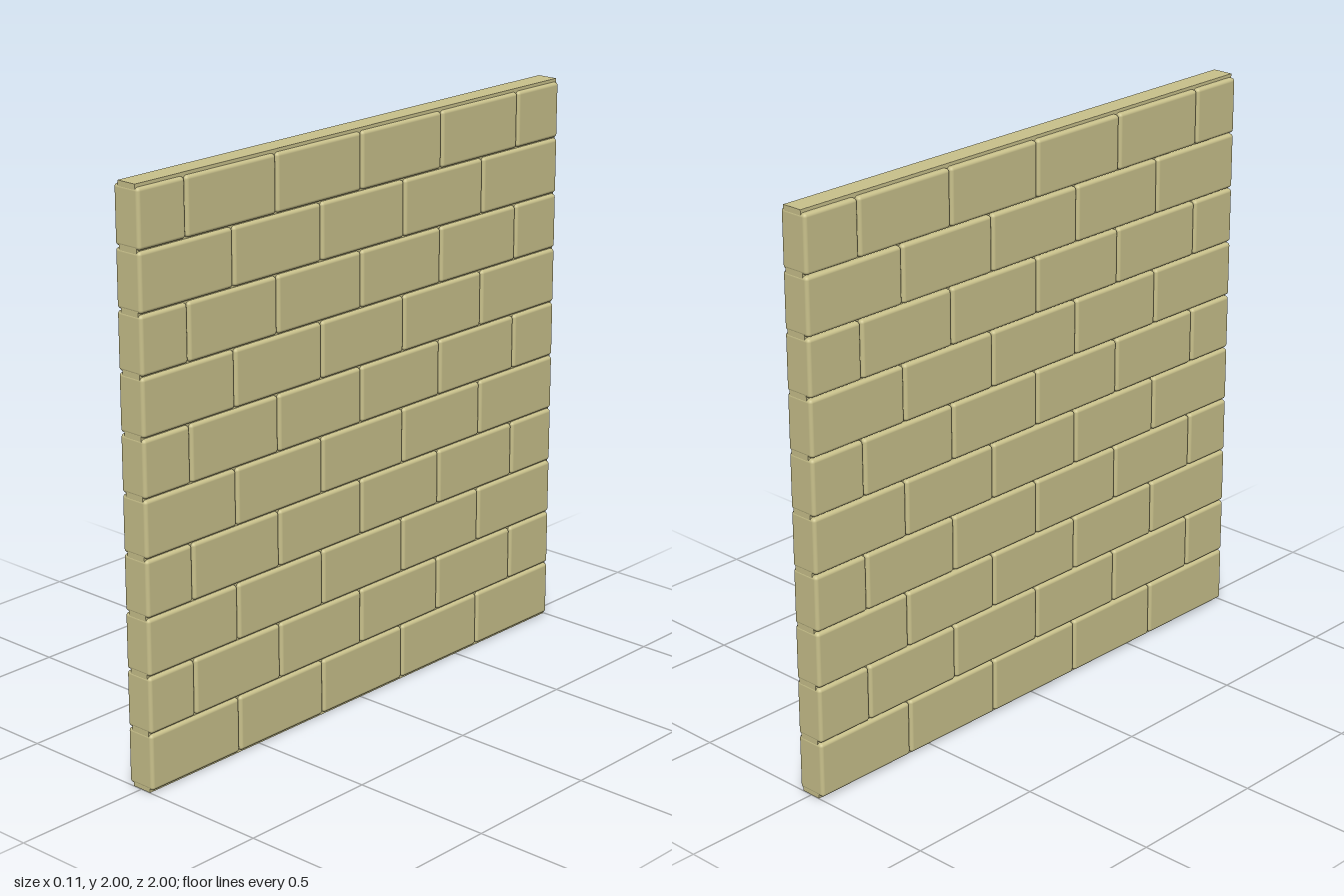
import * as THREE from 'three';
import { RoundedBoxGeometry } from 'three/addons/geometries/RoundedBoxGeometry.js';

export function createModel() {
  const wall = new THREE.Group();
  wall.name = 'brickWall';
  const material = new THREE.MeshStandardMaterial({ color: 0xcac28c });

  // Solid mortar core that shows in the joints and along the top
  const core = new THREE.Mesh(new THREE.BoxGeometry(0.075, 2, 1.998), material);
  core.name = 'mortarCore';
  core.position.set(0.002, 1, 0);
  wall.add(core);

  // Courses of rounded bricks in running bond
  const courses = 10, bottom = 0.006, pitch = 0.1985, gap = 0.004;
  const fullCourse = [1, 0.6, 0.2, -0.2, -0.6, -1];
  const offsetCourse = [1, 0.8, 0.405, 0.01, -0.385, -0.78, -1];

  for (let row = 0; row < courses; row++) {
    const course = new THREE.Group();
    course.name = `course${row + 1}`;
    const joints = row % 2 ? offsetCourse : fullCourse;
    for (let i = 0; i < joints.length - 1; i++) {
      // Only inner joints lose half the gap; the wall ends stay flush
      const z1 = joints[i] - (i > 0 ? gap / 2 : 0);
      const z0 = joints[i + 1] + (i < joints.length - 2 ? gap / 2 : 0);
      const brick = new THREE.Mesh(
        new RoundedBoxGeometry(0.107, pitch - gap, z1 - z0, 3, 0.012), material);
      brick.name = 'brick';
      brick.position.set(-0.001, bottom + (row + 0.5) * pitch, (z0 + z1) / 2);
      course.add(brick);
    }
    wall.add(course);
  }
  return wall;
}
